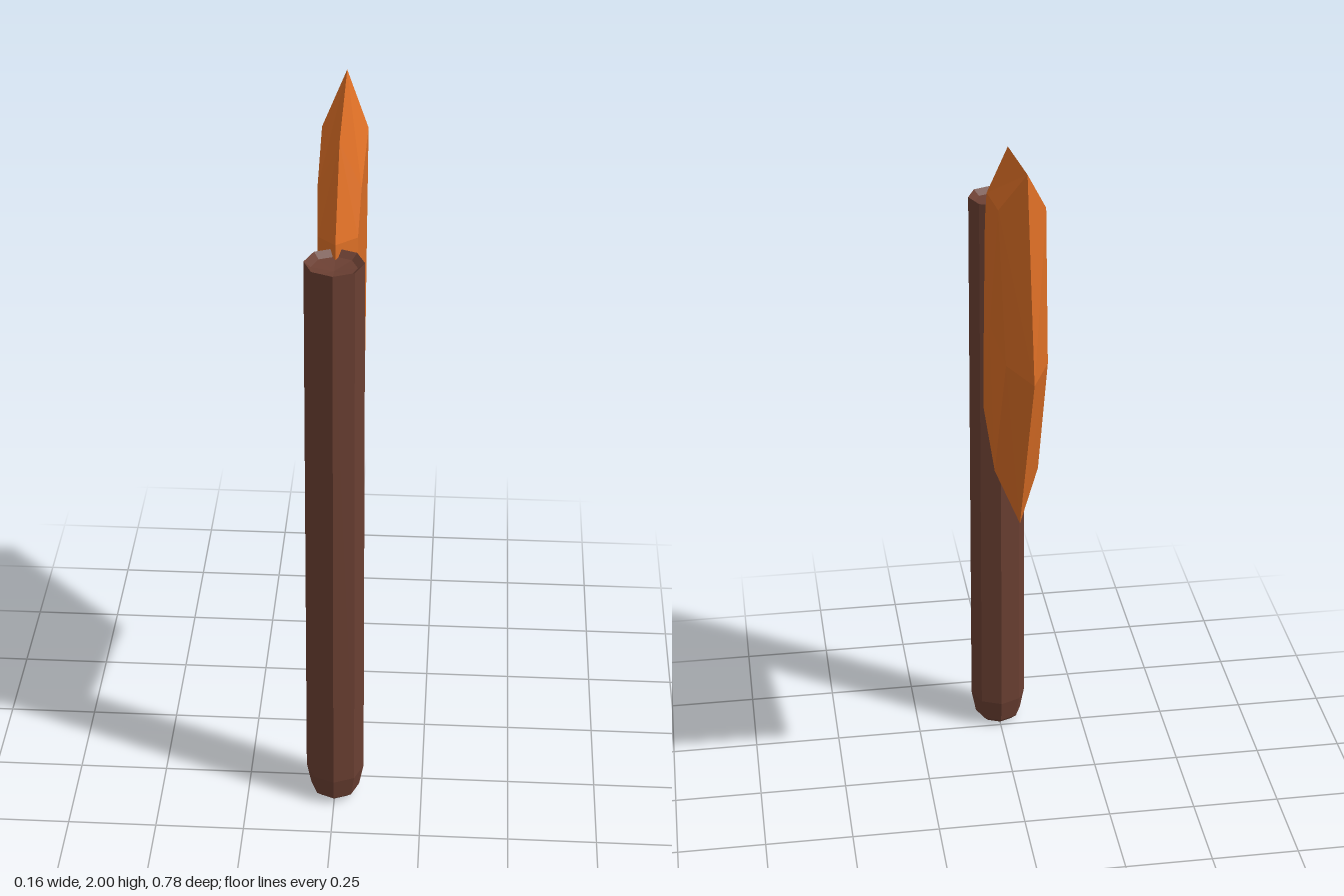
import * as THREE from 'three';

const HANDLE_Z = 0.31;

// Faceted blade: sharp rim in the x = 0 plane, raised inner ring and centre on both sides
function bladeGeometry() {
  const rim = [ // z, y
    [0.265, 1.745], [0.085, 1.947], [-0.26, 2.0], [-0.39, 1.475],
    [-0.143, 0.934], [0.228, 0.992], [0.27, 1.3],
  ].map(([z, y]) => [0, y, z]);
  const ring = [ // x, y, z
    [0.052, 1.715, 0.16], [0.057, 1.82, 0.085], [0.062, 1.873, -0.172], [0.055, 1.475, -0.26],
    [0.06, 1.066, -0.074], [0.054, 1.125, 0.196], [0.055, 1.32, 0.18],
  ];
  const centre = [0.062, 1.47, 0];
  const positions = [];
  for (const side of [1, -1]) {
    const tri = (a, b, c) => {
      for (const p of side > 0 ? [a, b, c] : [a, c, b]) positions.push(p[0] * side, p[1], p[2]);
    };
    for (let i = 0; i < rim.length; i++) {
      const j = (i + 1) % rim.length;
      tri(centre, ring[j], ring[i]);
      tri(ring[i], ring[j], rim[j]);
      tri(ring[i], rim[j], rim[i]);
    }
  }
  const geometry = new THREE.BufferGeometry();
  geometry.setAttribute('position', new THREE.Float32BufferAttribute(positions, 3));
  geometry.computeVertexNormals();
  return geometry;
}

// Eight-sided shaft: bevelled foot, slight taper, shallow dished top
function handleGeometry() {
  const profile = [
    [0, 0], [0.05, 0.004], [0.069, 0.022], [0.082, 0.09],
    [0.078, 1.72], [0.06, 1.705], [0, 1.695],
  ].map(([r, y]) => new THREE.Vector2(r, y));
  const geometry = new THREE.LatheGeometry(profile, 8).toNonIndexed();
  geometry.computeVertexNormals();
  return geometry;
}

export function createModel() {
  const wood = new THREE.MeshStandardMaterial({ color: 0x6a3f32, flatShading: true });
  wood.name = 'dark brown wood';
  const copper = new THREE.MeshStandardMaterial({ color: 0xd96d25, flatShading: true });
  copper.name = 'orange copper';

  const model = new THREE.Group();
  model.name = 'axe';

  const handle = new THREE.Mesh(handleGeometry(), wood);
  handle.name = 'handle';
  handle.position.z = HANDLE_Z;

  const blade = new THREE.Mesh(bladeGeometry(), copper);
  blade.name = 'blade';

  model.add(handle, blade);
  return model;
}
